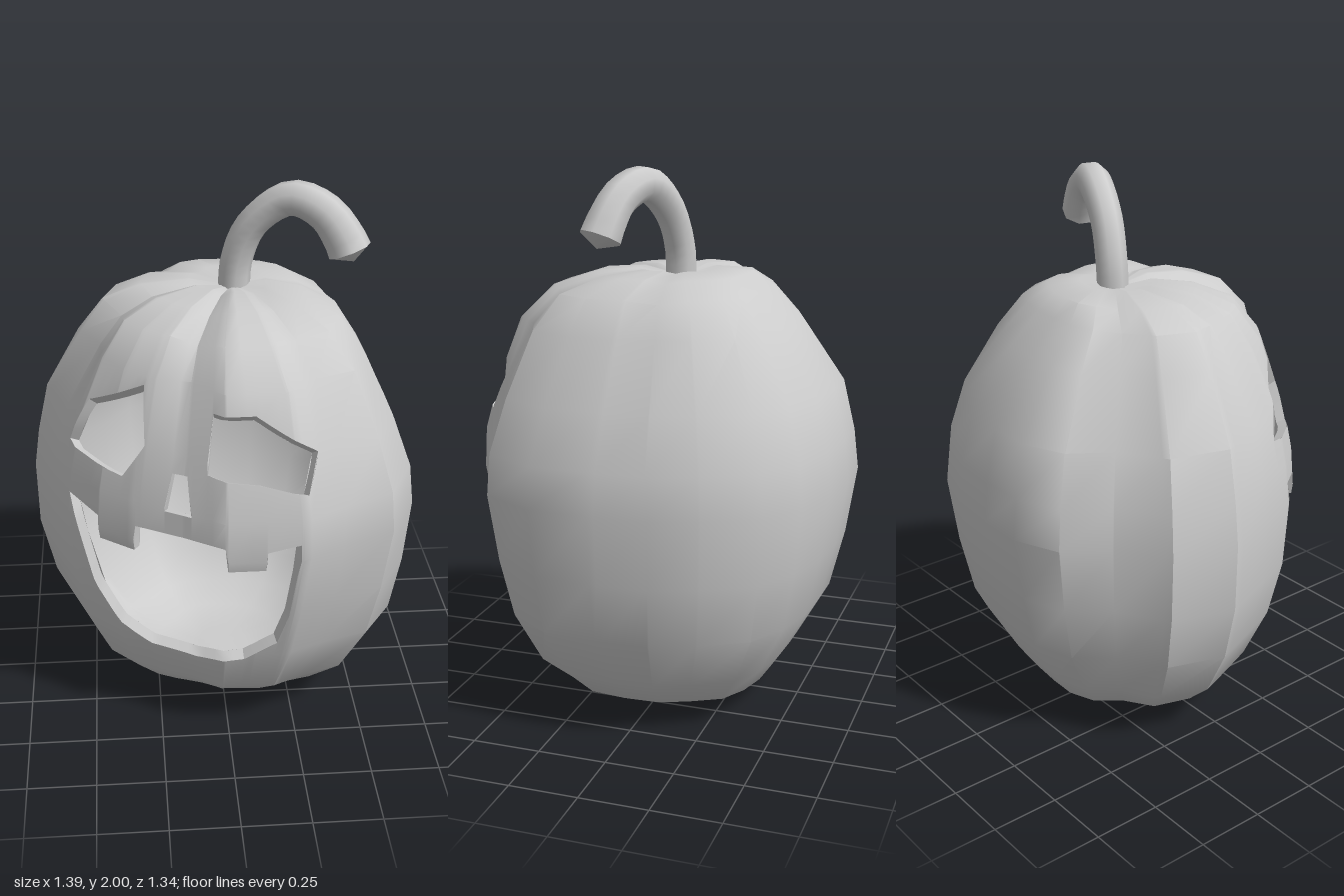
import * as THREE from 'three';
import { toCreasedNormals } from 'three/addons/utils/BufferGeometryUtils.js';

// Plan outline at the widest height, as [x, z]
const outline = [
  [-0.18, -0.67], [0, -0.67], [0.2, -0.65], [0.38, -0.59], [0.53, -0.49], [0.62, -0.3], [0.68, -0.13], [0.69, 0.08],
  [0.685, 0.3], [0.58, 0.5], [0.4, 0.58], [0.24, 0.67], [-0.03, 0.67], [-0.17, 0.58], [-0.35, 0.48], [-0.46, 0.4],
  [-0.57, 0.27], [-0.62, 0.12], [-0.7, -0.1], [-0.63, -0.33], [-0.46, -0.45], [-0.35, -0.6],
].sort((p, q) => Math.atan2(...p) - Math.atan2(...q));

// Profile from bottom to top: [height, relative radius at -x, +x, front and back, groove depth, groove drop]
const profile = [
  [0.03, 0, 0, 0, 0, 0, 0], [0.003, 0.12, 0.18, 0.1, 0.2, 0, 0], [0.03, 0.37, 0.4, 0.33, 0.42, 0, 0],
  [0.09, 0.6, 0.62, 0.5, 0.58, 0, 0], [0.2, 0.77, 0.77, 0.7, 0.69, 0, 0], [0.4, 0.92, 0.935, 0.81, 0.86, 0, 0],
  [0.62, 0.995, 0.98, 0.91, 0.94, 0, 0], [0.87, 1, 1, 1, 1, 0, 0], [1.02, 0.97, 0.975, 0.99, 0.975, 0, 0],
  [1.21, 0.91, 0.87, 0.92, 0.91, 0.02, 0], [1.44, 0.73, 0.71, 0.8, 0.68, 0.06, 0],
  [1.56, 0.6, 0.6, 0.62, 0.52, 0.05, 0.03], [1.615, 0.43, 0.4, 0.4, 0.4, 0.02, 0.03],
  [1.63, 0.2, 0.2, 0.2, 0.2, 0, 0.02], [1.6, 0, 0, 0, 0, 0, 0],
];
const TOP = profile.length - 1;

// Grooves between the lobes: [angle, strength]
const grooves = [[-0.29, 1], [0.6, 0.5], [-1.4, 0.7], [1.75, 0.4], [-2.35, 0.4]];
const GROOVE_WIDTH = 0.26;

const wrap = (a) => Math.atan2(Math.sin(a), Math.cos(a));

function planRadius(angle) {
  const dx = Math.sin(angle), dz = Math.cos(angle);
  const n = outline.length;
  let i = outline.findIndex((p) => Math.atan2(...p) > angle);
  if (i < 0) i = 0;
  const [px, pz] = outline[(i + n - 1) % n], [qx, qz] = outline[i];
  return (px * qz - pz * qx) / (dx * (qz - pz) - dz * (qx - px));
}

// Point on the outer skin at an angle round the body and a position along the profile
function skin(angle, v) {
  const i = Math.min(TOP - 1, Math.floor(v));
  const [y, minusX, plusX, front, back, depth, drop] = profile[i].map((a, k) => a + (profile[i + 1][k] - a) * (v - i));
  const sin = Math.sin(angle), cos = Math.cos(angle);
  const s = sin * sin * (sin < 0 ? minusX : plusX) + cos * cos * (cos < 0 ? back : front);
  let g = 0;
  for (const [a, strength] of grooves) {
    g = Math.max(g, strength * (1 - Math.abs(wrap(angle - a)) / GROOVE_WIDTH));
  }
  const r = planRadius(angle) * Math.max(0, s - depth * g);
  const lean = v > 11 ? (0.05 * (v - 11)) / (TOP - 11) : 0;
  return new THREE.Vector3(r * sin + lean, y - drop * g, r * cos - lean);
}

const centre = new THREE.Vector3(0, 0.85, 0);
const lining = (angle, v) => skin(angle, v).sub(centre).multiplyScalar(0.945).add(centre);

// Turns a front position (x, y) into [angle, v] on the skin
function toSurface([x, y]) {
  let i = 2;
  while (profile[i + 1][0] < y) i++;
  const v = i + (y - profile[i][0]) / (profile[i + 1][0] - profile[i][0]);
  let lo = -1.45, hi = 1.2;
  for (let k = 0; k < 40; k++) {
    const mid = (lo + hi) / 2;
    if (skin(mid, v).x < x) lo = mid;
    else hi = mid;
  }
  return [lo, v];
}

// Carved openings
const openings = {
  rightEye: [[-0.55, 1.13], [-0.475, 1.3], [-0.285, 1.412], [-0.29, 1.22], [-0.37, 1.095]],
  leftEye: [[-0.06, 1.37], [0.08, 1.37], [0.29, 1.23], [0.255, 1.1], [0.1, 1.145], [-0.085, 1.17]],
  nose: [[-0.2, 1.145], [-0.15, 1.145], [-0.14, 1.01], [-0.23, 1.01]],
  mouth: [
    [-0.56, 0.95], [-0.46, 0.92], [-0.455, 0.83], [-0.335, 0.825], [-0.33, 0.925], [-0.03, 0.925], [-0.02, 0.83],
    [0.11, 0.83], [0.115, 0.905], [0.23, 0.93], [0.22, 0.8], [0.2, 0.6], [0.165, 0.46], [0.05, 0.37],
    [-0.12, 0.343], [-0.28, 0.365], [-0.39, 0.44], [-0.47, 0.58], [-0.53, 0.8],
  ],
};
const loops = Object.values(openings).map((loop) => loop.map(toSurface));
const edges = loops.flatMap((loop) => loop.map((p, i) => [p, loop[(i + 1) % loop.length]]));

function addQuad(out, a, b, c, d) {
  for (const [p, q, r] of [[a, b, c], [a, c, d]]) {
    const area = q.clone().sub(p).cross(r.clone().sub(p)).length();
    if (area > 1e-7) out.push(...p.toArray(), ...q.toArray(), ...r.toArray());
  }
}

function toGeometry(positions, crease) {
  const geometry = new THREE.BufferGeometry();
  geometry.setAttribute('position', new THREE.Float32BufferAttribute(positions, 3));
  return toCreasedNormals(geometry, crease);
}

// Columns round the body, broken at every rib, groove and opening corner
function columnAngles() {
  const all = [-Math.PI, Math.PI, ...outline.map((p) => Math.atan2(...p)), ...loops.flat().map((p) => p[0])];
  for (const [a] of grooves) all.push(a, wrap(a - GROOVE_WIDTH), wrap(a + GROOVE_WIDTH));
  all.sort((a, b) => a - b);
  return all.filter((a, i) => i === 0 || a - all[i - 1] > 1e-5);
}

// Skin or lining with the openings left out
function shell(surface, inward) {
  const out = [];
  const angles = columnAngles();
  for (let c = 0; c + 1 < angles.length; c++) {
    const a = angles[c], b = angles[c + 1], mid = (a + b) / 2;
    const cuts = edges
      .filter(([p, q]) => (p[0] - mid) * (q[0] - mid) < 0)
      .map(([p, q]) => [a, b, mid].map((t) => p[1] + ((q[1] - p[1]) * (t - p[0])) / (q[0] - p[0])))
      .sort((p, q) => p[2] - q[2]);
    const bounds = [[0, 0], ...cuts, [TOP, TOP]];
    for (let k = 0; k + 1 < bounds.length; k += 2) {
      const [la, lb] = bounds[k], [ha, hb] = bounds[k + 1];
      const left = (v) => surface(a, THREE.MathUtils.clamp(v, la, ha));
      const right = (v) => surface(b, THREE.MathUtils.clamp(v, lb, hb));
      for (let v = 0; v < TOP; v++) {
        const quad = [left(v), right(v), right(v + 1), left(v + 1)];
        addQuad(out, ...(inward ? quad.reverse() : quad));
      }
    }
  }
  return toGeometry(out, 0.6);
}

// Cut thickness round one opening
function rim(loop) {
  const out = [];
  const steps = 5;
  loop.forEach((p, i) => {
    const q = loop[(i + 1) % loop.length];
    const at = (t) => [p[0] + (q[0] - p[0]) * t, p[1] + (q[1] - p[1]) * t];
    for (let k = 0; k < steps; k++) {
      const s = at(k / steps), e = at((k + 1) / steps);
      addQuad(out, skin(...s), skin(...e), lining(...e), lining(...s));
    }
  });
  return toGeometry(out, 0.5);
}

// Curved stalk, thick at the cut end
function stalk() {
  const path = new THREE.CatmullRomCurve3([
    [0.055, 1.57, -0.045], [0.065, 1.7, -0.045], [0.12, 1.84, -0.025], [0.25, 1.942, 0.02],
    [0.36, 1.905, 0.07], [0.425, 1.82, 0.1], [0.46, 1.74, 0.12],
  ].map((p) => new THREE.Vector3(...p)));
  const rings = 20, sides = 8;
  const geometry = new THREE.TubeGeometry(path, rings, 1, sides);
  const position = geometry.attributes.position;
  const point = new THREE.Vector3();
  for (let i = 0; i < position.count; i++) {
    const ring = Math.floor(i / (sides + 1)), t = ring / rings;
    const radius = ring === rings ? 0 : 0.058 + 0.022 * t ** 3;
    const middle = path.getPointAt(t);
    point.fromBufferAttribute(position, i).sub(middle).multiplyScalar(radius).add(middle);
    position.setXYZ(i, point.x, point.y, point.z);
  }
  return toCreasedNormals(geometry, 0.85);
}

export function createModel() {
  const model = new THREE.Group();
  model.name = 'carvedPumpkin';
  const grey = new THREE.MeshStandardMaterial({ color: 0xcccccc, side: THREE.DoubleSide });
  grey.name = 'light grey';
  const add = (name, geometry) => {
    const mesh = new THREE.Mesh(geometry, grey);
    mesh.name = name;
    model.add(mesh);
  };
  add('outerSkin', shell(skin, false));
  add('innerLining', shell(lining, true));
  Object.keys(openings).forEach((name, i) => add(name + 'Rim', rim(loops[i])));
  add('stem', stalk());
  return model;
}
